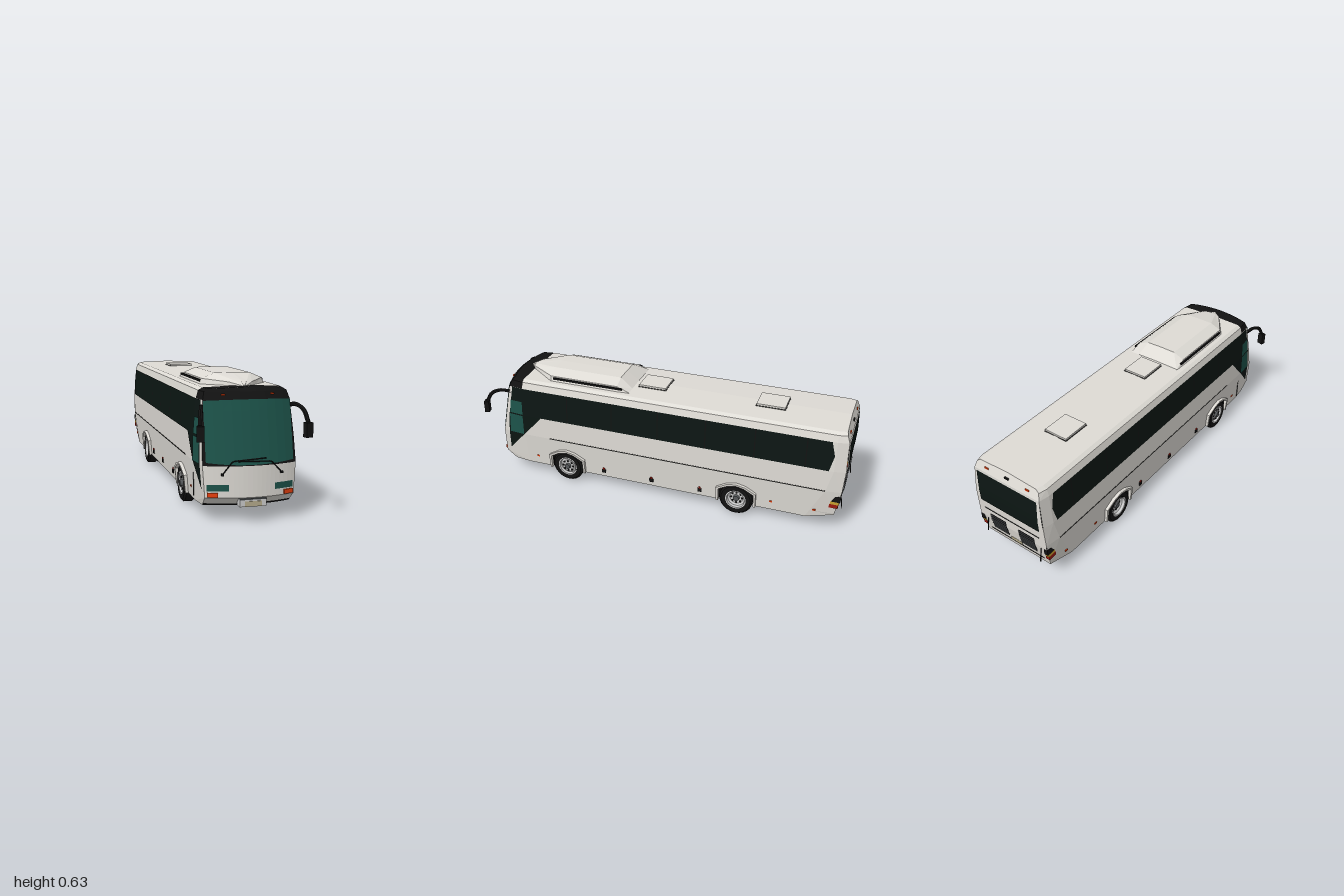
import * as THREE from 'three';

const mat = (color) => new THREE.MeshStandardMaterial({ color, flatShading: true, side: THREE.DoubleSide });
const M = {
  paint: mat(0xdedbd5), black: mat(0x121212), teal: mat(0x1c5249), glass: mat(0x0c1613), trim: mat(0x30302e),
  orange: mat(0xe8400e), red: mat(0x9a1a10), amber: mat(0xc8a030), plate: mat(0xb5ab8c), grey: mat(0xcccccc), dark: mat(0x55585a),
};
const lerp = THREE.MathUtils.lerp;

// Piecewise linear lookup in a [key, value] table
function look(t, k) {
  if (k <= t[0][0]) return t[0][1];
  for (let i = 1; i < t.length; i++)
    if (k <= t[i][0]) return lerp(t[i - 1][1], t[i][1], (k - t[i - 1][0]) / (t[i][0] - t[i - 1][0]));
  return t[t.length - 1][1];
}

// Body rules: half section [x, y], end curves and side taper
const section = [[0.212, 0.065], [0.2152, 0.11], [0.225, 0.25], [0.222, 0.37], [0.21, 0.53], [0.2, 0.565],
  [0.18, 0.577], [0.12, 0.579], [0.06, 0.581], [0, 0.583]];
const widthTable = section.map(([x, y]) => [y, x]);
const roofTable = [[0, 0.583], [0.171, 0.577], [0.19, 0.565]];
const noseTable = [[0.065, 0.9], [0.11, 0.955], [0.25, 0.955], [0.53, 0.895], [0.565, 0.875], [0.583, 0.85]];
const tailTable = [[0.1, -0.965], [0.225, -0.99], [0.4, -1], [0.53, -0.995], [0.583, -0.975]];
const rearStart = [[0.065, -0.82], [0.25, -0.91], [0.37, -0.94]];
const CAP = 0.77;
const halfW = (y) => look(widthTable, y);
const noseZ = (x, y) => look(noseTable, y) - 0.045 * (x / 0.21) ** 2;
const tailZ = (x, y) => look(tailTable, y);
const sideX = (y, z) => {
  const w = halfW(y);
  return z <= CAP ? w : w * (1 - 0.05 * (z - CAP) / (noseZ(w * 0.95, y) - CAP));
};

export function createModel() {
  const root = new THREE.Group();
  const add = (name, geo, m, x = 0, y = 0, z = 0, parent = root) => {
    const mesh = new THREE.Mesh(geo, m);
    mesh.name = name;
    mesh.position.set(x, y, z);
    parent.add(mesh);
    return mesh;
  };
  const box = (name, m, w, h, d, x, y, z) => add(name, new THREE.BoxGeometry(w, h, d), m, x, y, z);

  // Grid surface from f(i, j) -> [x, y, z]
  const surface = (name, m, nu, nv, f) => {
    const pos = [], idx = [];
    for (let j = 0; j <= nv; j++) for (let i = 0; i <= nu; i++) pos.push(...f(i, j));
    for (let j = 0; j < nv; j++) for (let i = 0; i < nu; i++) {
      const a = j * (nu + 1) + i, b = a + nu + 1;
      idx.push(a, a + 1, b + 1, a, b + 1, b);
    }
    const g = new THREE.BufferGeometry();
    g.setAttribute('position', new THREE.Float32BufferAttribute(pos, 3));
    g.setIndex(idx);
    g.computeVertexNormals();
    return add(name, g, m);
  };
  // Polygon [z, y] laid onto a side wall
  const sidePoly = (name, m, s, pts, off) => {
    const g = new THREE.ShapeGeometry(new THREE.Shape(pts.map((p) => new THREE.Vector2(...p))));
    const p = g.attributes.position;
    for (let i = 0; i < p.count; i++) {
      const z = p.getX(i), y = p.getY(i);
      p.setXYZ(i, s * (sideX(y, z) + off), y, z);
    }
    g.computeVertexNormals();
    return add(name, g, m);
  };
  // Rectangle laid onto the nose or tail; bow curves its lower edge up at the ends
  const endPatch = (name, m, zf, x0, x1, y0, y1, off, bow = 0) => surface(name, m, 10, 6, (i, j) => {
    const x = lerp(x0, x1, i / 10), e = (x / 0.2) ** 2 * bow;
    const y = lerp(y0 + e, y1 - e * 0.6, j / 6);
    return [x, y, zf(x, y) + off];
  });

  // Shell stations from tail to nose
  const ring = [
    (x, y) => { const q = Math.max(y, 0.1); return [x * 0.95, q, tailZ(x, q)]; },
    (x, y) => [x, y, look(rearStart, y)],
    (x, y) => [x, y, CAP],
    (x, y) => [x * 0.95, y, noseZ(x * 0.95, y)],
  ];
  const loft = (name, m, s, a, k0, k1) => surface(name, m, k1 - k0, 1, (i, j) => {
    const [x, y] = section[k0 + i], p = ring[a + j](x, y);
    return [s * p[0], p[1], p[2]];
  });
  const arch = [[-0.095, 0.065], [-0.095, 0.143], [-0.045, 0.172], [0, 0.183], [0.045, 0.172], [0.095, 0.143], [0.095, 0.065]];
  const lip = [[-0.107, 0.065], [-0.107, 0.15], [-0.05, 0.183], [0, 0.194], [0.05, 0.183], [0.107, 0.15], [0.107, 0.065]];
  const axles = [-0.455, 0.52];

  for (const s of [-1, 1]) {
    loft('rearCorner', M.paint, s, 0, 0, 9);
    loft('upperSideAndRoof', M.paint, s, 1, 2, 9);
    loft('frontCorner', M.paint, s, 2, 0, 4);
    loft('frontRoofCap', M.black, s, 2, 4, 9);
    const outline = [[-0.82, 0.065], ...axles.flatMap((a) => arch.map(([z, y]) => [z + a, y])), [CAP, 0.065], [CAP, 0.25], [-0.91, 0.25]];
    sidePoly('lowerSide', M.paint, s, outline, 0);

    // Side glazing
    sidePoly('sideWindowBand', M.glass, s, [[CAP, 0.37], [CAP, 0.53], [-0.915, 0.53], [-0.935, 0.455], [-0.915, 0.37]], 0.002);
    sidePoly('frontSideWindow', M.glass, s, [[CAP, 0.37], [0.862, 0.37], [0.835, 0.53], [CAP, 0.53]], 0.002);
    sidePoly('windowSweep', M.glass, s, [[0.665, 0.37], [CAP, 0.37], [CAP, 0.257]], 0.002);
    sidePoly('windowSweep', M.glass, s, [[CAP, 0.37], [0.865, 0.37], [0.875, 0.25], [0.777, 0.25], [CAP, 0.257]], 0.002);
    sidePoly('windowSweep', M.glass, s, [[0.777, 0.25], [0.875, 0.25], [0.88, 0.14]], 0.002);
    sidePoly('cabPane', M.teal, s, [[0.777, 0.252], [0.865, 0.252], [0.86, 0.366], [0.777, 0.366]], 0.004);
    sidePoly('cabPane', M.teal, s, [[0.777, 0.374], [0.858, 0.374], [0.85, 0.45], [0.777, 0.45]], 0.004);
    for (let k = 0; k < 6; k++) {
      const z = 0.5 - k * 0.26;
      sidePoly('windowDivider', M.black, s, [[z, 0.372], [z + 0.006, 0.372], [z + 0.006, 0.528], [z, 0.528]], 0.003);
    }
    box('sideTrimLine', M.trim, 0.003, 0.005, 1.53, s * 0.225, 0.25, -0.145);
    for (const z of [0.3, 0.02, -0.255]) {
      box('lockerLatch', M.black, 0.008, 0.02, 0.022, s * 0.216, 0.102, z);
      box('latchLight', M.red, 0.007, 0.008, 0.012, s * 0.217, 0.117, z);
    }
    for (const z of [0.705, -0.64, -0.865]) box('sideMarker', M.orange, 0.008, 0.008, 0.016, s * 0.215, 0.118, z);

    // Wheels, wells and arch lips
    for (const a of axles) {
      surface('wheelWell', M.black, 6, 1, (i, j) => [s * (j ? 0.1 : halfW(arch[i][1])), arch[i][1], arch[i][0] + a]);
      const wall = new THREE.ShapeGeometry(new THREE.Shape(arch.map((p) => new THREE.Vector2(...p))));
      add('wheelWellWall', wall.rotateY(-Math.PI / 2), M.black, s * 0.1, 0, a);
      surface('archLip', M.paint, 6, 3, (i, j) => {
        const [z, y] = (j < 2 ? arch : lip)[i];
        return [s * (j % 3 ? 0.226 + 0.1 * (y - 0.065) : halfW(y) - 0.001), y, z + a];
      });
      const wheel = new THREE.Group();
      wheel.name = a > 0 ? 'frontWheel' : 'rearWheel';
      wheel.position.set(s * 0.196, 0.09, a);
      wheel.rotation.z = -s * Math.PI / 2;
      root.add(wheel);
      const tyre = [[0.055, -0.028], [0.08, -0.029], [0.09, -0.02], [0.09, 0.02], [0.08, 0.029], [0.056, 0.028], [0.052, 0.012]];
      const tyreGeo = new THREE.LatheGeometry(tyre.map((p) => new THREE.Vector2(...p)), 24);
      add('tyre', tyreGeo, M.black, 0, 0, 0, wheel);
      if (a < 0) add('innerTyre', tyreGeo, M.black, 0, -0.058, 0, wheel);
      const dish = a > 0 ? 0.022 : 0.006;
      const rim = [[0, dish], [0.036, dish], [0.046, 0.014], [0.049, 0.029], [0.056, 0.029]];
      add('rim', new THREE.LatheGeometry(rim.map((p) => new THREE.Vector2(...p)), 24), M.grey, 0, 0, 0, wheel);
      add('hub', new THREE.CylinderGeometry(0.015, 0.018, 0.014, 12), M.dark, 0, dish + 0.006, 0, wheel);
      for (let k = 0; k < 8; k++) {
        const t = k * Math.PI / 4;
        add('rimHole', new THREE.CylinderGeometry(0.006, 0.006, 0.003, 8), M.black, 0.03 * Math.cos(t), dish + 0.001, 0.03 * Math.sin(t), wheel);
      }
    }

    // Mirror on a curved arm
    const arm = new THREE.CatmullRomCurve3([[0.206, 0.5, 0.85], [0.217, 0.505, 0.9], [0.232, 0.485, 0.95], [0.242, 0.435, 0.978]]
      .map(([x, y, z]) => new THREE.Vector3(s * x, y, z)));
    add('mirrorArm', new THREE.TubeGeometry(arm, 10, 0.01, 6), M.black);
    box('mirrorHead', M.black, 0.034, 0.065, 0.026, s * 0.24, 0.403, 0.984).rotation.y = s * 0.25;

    // Nose lights and wipers
    endPatch('lampGlass', M.teal, noseZ, s * 0.104, s * 0.197, 0.14, 0.169, 0.003);
    box('indicator', M.orange, 0.048, 0.02, 0.014, s * 0.172, 0.123, noseZ(0.172, 0.123)).rotation.y = s * 0.33;
    box('roofMarker', M.orange, 0.016, 0.006, 0.01, s * 0.112, 0.553, noseZ(0.112, 0.553));
    const wiperPts = s < 0 ? [[-0.135, 0.215], [-0.09, 0.273], [0.06, 0.283]] : [[0.135, 0.215], [0.085, 0.268], [-0.065, 0.272]];
    const path = new THREE.CurvePath();
    const v = wiperPts.map(([x, y]) => new THREE.Vector3(x, y, noseZ(x, y) + 0.01));
    path.add(new THREE.LineCurve3(v[0], v[1]));
    path.add(new THREE.LineCurve3(v[1], v[2]));
    add('wiper', new THREE.TubeGeometry(path, 16, 0.003, 5), M.black);
    box('wiperPivot', M.black, 0.01, 0.01, 0.012, ...v[0].toArray());

    // Tail lights and engine grilles
    [[M.black, 0.205, 0.034], [M.amber, 0.18, 0.016], [M.red, 0.161, 0.022]].forEach(([m, y, h]) =>
      box('tailLight', m, 0.022, h, 0.045, s * 0.204, y, tailZ(0, y) + 0.019));
    endPatch('engineGrille', M.black, tailZ, s * 0.04, s * 0.14, 0.16, 0.262, -0.002);
    for (let k = 0; k < 7; k++) {
      const y = 0.169 + k * 0.014;
      box('grilleSlat', M.dark, 0.096, 0.004, 0.006, s * 0.09, y, tailZ(0, y) - 0.003);
    }
    box('hatchSeam', M.black, 0.004, 0.155, 0.004, s * 0.172, 0.207, tailZ(0, 0.207)).rotation.x = 0.16;
    box('rearMarker', M.orange, 0.022, 0.007, 0.008, s * 0.125, 0.553, tailZ(0, 0.553));
    box('podVent', M.black, 0.01, 0.01, 0.4, s * 0.151, 0.593, 0.405);
  }

  // Nose and tail faces
  const face = (name, m, rows, zf) => surface(name, m, 20, rows.length - 1, (i, j) => {
    const u = i / 10 - 1, top = rows[j] > 0.565;
    const x = u * (top ? 0.19 : halfW(rows[j] === 0.1 && zf === tailZ ? 0.065 : rows[j]) * 0.95);
    const y = top ? look(roofTable, Math.abs(x)) : rows[j];
    return [x, y, zf(x, y)];
  });
  face('frontSkirt', M.black, [0.065, 0.076], noseZ);
  face('frontPanel', M.paint, [0.076, 0.11, 0.18, 0.25], noseZ);
  face('windscreenSurround', M.black, [0.25, 0.37, 0.53, 0.565, 0.583], noseZ);
  endPatch('windscreen', M.teal, noseZ, -0.2, 0.2, 0.254, 0.533, 0.003, 0.01);
  face('rearPanel', M.paint, [0.1, 0.11, 0.225, 0.25, 0.37, 0.4, 0.53, 0.565, 0.583], tailZ);
  endPatch('rearWindow', M.glass, tailZ, -0.185, 0.185, 0.335, 0.52, -0.003);
  box('rearCentreMarker', M.black, 0.025, 0.009, 0.008, 0, 0.556, -0.987);
  for (const y of [0.13, 0.285]) box('hatchSeam', M.black, 0.344, 0.004, 0.004, 0, y, tailZ(0, y));
  box('rearPlate', M.plate, 0.07, 0.018, 0.006, 0, 0.146, tailZ(0, 0.146));
  box('plateHolder', M.grey, 0.122, 0.034, 0.04, 0, 0.089, 0.945);
  box('plateHood', M.dark, 0.122, 0.005, 0.042, 0, 0.105, 0.945);
  box('frontPlate', M.plate, 0.076, 0.023, 0.004, 0, 0.085, 0.966);
  box('doorSeam', M.trim, 0.003, 0.16, 0.004, -0.22, 0.165, 0.765);

  // Floor in strips, narrow between the wheel wells
  const floor = (z0, y0, w0, z1, y1, w1) => surface('floor', M.black, 12, 1, (i, j) => {
    const x = (i / 6 - 1) * (j ? w1 : w0);
    return [x, j ? y1 : y0, j ? (z1 ?? noseZ(x, y1)) : z0];
  });
  const W = 0.212, b = 0.065;
  floor(-0.965, 0.1, W * 0.95, -0.82, b, W);
  [[-0.82, -0.55, W], [-0.55, -0.36, 0.1], [-0.36, 0.425, W], [0.425, 0.615, 0.1], [0.615, CAP, W]]
    .forEach(([z0, z1, w]) => floor(z0, b, w, z1, b, w));
  floor(CAP, b, W, null, b, W * 0.95);
  for (const a of axles) add('axle', new THREE.CylinderGeometry(0.018, 0.018, 0.36, 10).rotateZ(Math.PI / 2), M.black, 0, 0.09, a);

  // Roof pod [z, base half width, shoulder half width, top half width, shoulder y, top y] and hatches
  const pod = [[0.165, 0.155, 0.15, 0.1, 0.58, 0.583], [0.235, 0.157, 0.145, 0.085, 0.603, 0.63],
    [0.62, 0.157, 0.145, 0.085, 0.603, 0.63], [0.76, 0.06, 0.055, 0.03, 0.597, 0.606], [0.81, 0.006, 0.005, 0.003, 0.58, 0.585]];
  surface('roofPod', M.paint, 6, 4, (i, j) => {
    const [z, w0, w1, w2, y1, y2] = pod[j];
    const [x, y] = [[w0, 0.574], [w1, y1], [w2, y2 - 0.002], [0, y2]][3 - Math.abs(i - 3)];
    return [Math.sign(i - 3) * ([w0, w1, w2, 0][3 - (3 - Math.abs(i - 3)) === 0 ? 3 : 3 - Math.abs(i - 3)] ?? x), y, z];
  });
  for (const z of [-0.575, 0.065]) {
    box('roofHatch', M.paint, 0.13, 0.014, 0.15, 0, 0.586, z);
    box('roofHatchSeal', M.trim, 0.136, 0.005, 0.156, 0, 0.581, z);
  }
  return root;
}
